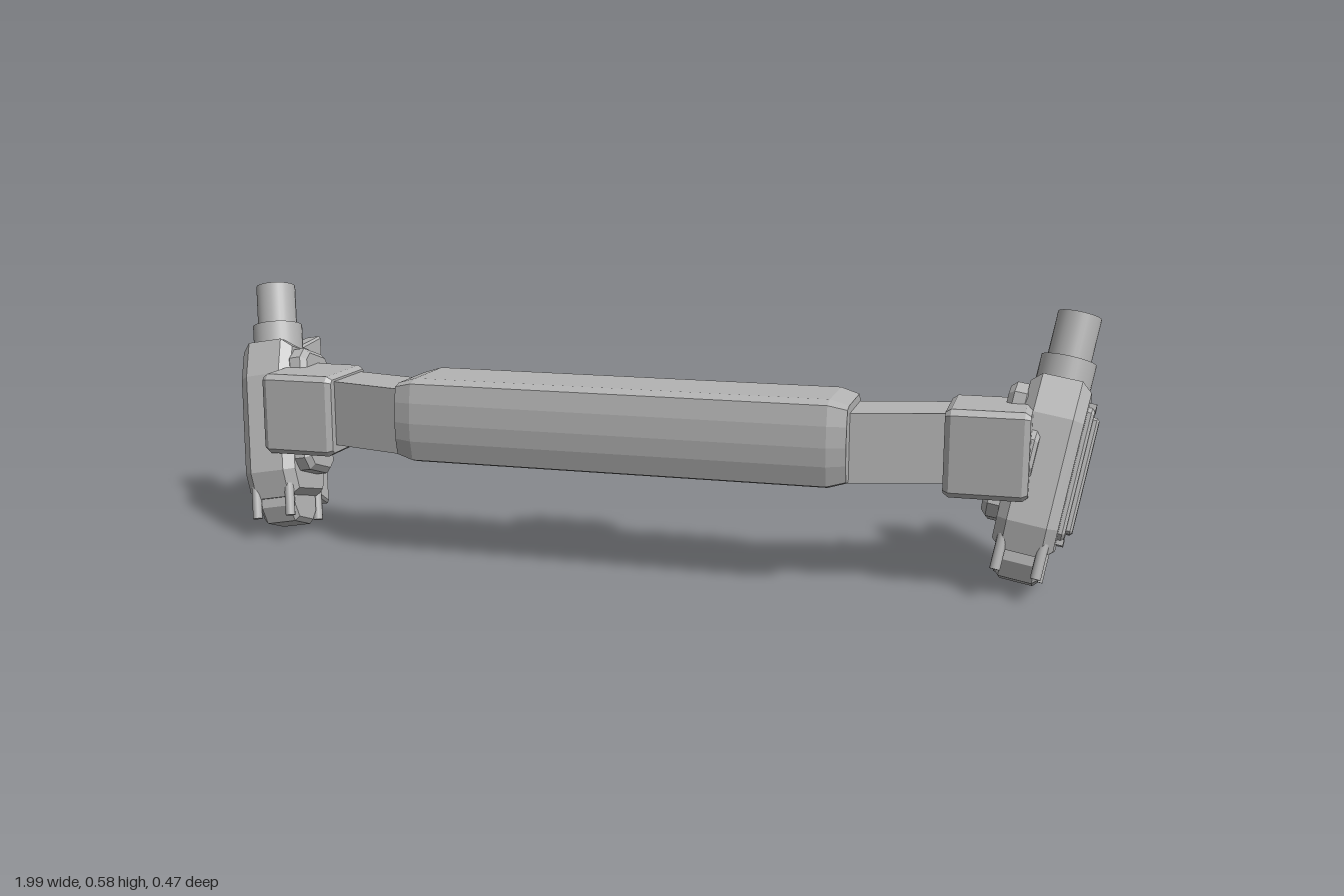
import * as THREE from 'three';

const grey = new THREE.MeshStandardMaterial({ color: 0xb3b3b3 });
grey.name = 'grey';

function add(parent, name, geometry, x = 0, y = 0, z = 0) {
  const mesh = new THREE.Mesh(geometry, grey);
  mesh.name = name;
  mesh.position.set(x, y, z);
  parent.add(mesh);
  return mesh;
}

// Side outline of [z, y] points, extruded along x from x0 to x1; bevel runs inwards
function slab(pts, x0, x1, bevel = 0, run = bevel) {
  const a = Math.min(x0, x1), b = Math.max(x0, x1);
  const shape = new THREE.Shape(pts.map(([z, y]) => new THREE.Vector2(-z, y)));
  const g = new THREE.ExtrudeGeometry(shape, {
    depth: b - a - 2 * run, bevelEnabled: bevel > 0, bevelThickness: run,
    bevelSize: bevel, bevelOffset: -bevel, bevelSegments: 1,
  });
  return g.translate(0, 0, a + run).rotateY(Math.PI / 2);
}

// Rectangle in z and y with cut corners
function cutRect(z0, z1, y0, y1, c) {
  return [[z0 + c, y0], [z1 - c, y0], [z1, y0 + c], [z1, y1 - c],
    [z1 - c, y1], [z0 + c, y1], [z0, y1 - c], [z0, y0 + c]];
}

// Upright pod at each end; s is the side (+1 or -1)
function createPod(s) {
  const pod = new THREE.Group();
  pod.name = s > 0 ? 'leftPod' : 'rightPod';
  pod.position.set(s * 0.885, 0.25, 0.02);
  pod.rotation.set(-0.323, 0, -s * 0.175);

  const body = [[0.065, -0.19], [0.09, -0.13], [0.09, 0.1], [0.07, 0.185],
    [-0.075, 0.185], [-0.096, 0.14], [-0.096, -0.15], [-0.08, -0.18]];
  add(pod, 'podBody', slab(body, -0.063, 0.063, 0.018, 0.022));

  // Framed panel on the outer face
  add(pod, 'panelFrame', slab(cutRect(-0.046, 0.03, -0.142, 0.142, 0.012), s * 0.05, s * 0.077, 0.006));
  add(pod, 'panelSlab', slab(cutRect(-0.032, 0.016, -0.125, 0.125, 0.006), s * 0.07, s * 0.09, 0.005));
  for (const e of [-1, 1])
    add(pod, 'panelTab', new THREE.BoxGeometry(0.02, 0.014, 0.05), s * 0.068, e * 0.145, -0.008);

  // Mount on the inner face
  add(pod, 'mountPlate', slab(cutRect(-0.07, 0.07, -0.13, 0.16, 0.025), -s * 0.05, -s * 0.1, 0.012));
  add(pod, 'mountEar', slab(cutRect(-0.07, 0.112, -0.06, 0.08, 0.04), -s * 0.015, -s * 0.1, 0.008));

  // Stub tube and collar
  add(pod, 'collar', new THREE.CylinderGeometry(0.058, 0.058, 0.08, 32), 0, 0.194, 0);
  add(pod, 'tube', new THREE.CylinderGeometry(0.046, 0.046, 0.14, 32), 0, 0.262, 0);

  // Rear fin
  const fin = [[-0.188, -0.183], [-0.188, 0.242], [-0.05, 0.185], [-0.05, -0.12], [-0.095, -0.158]];
  add(pod, 'fin', slab(fin, -0.023, 0.023, 0.006));

  // Foot with four pins
  const foot = [[-0.073, -0.165], [-0.073, -0.218], [-0.05, -0.246], [0.028, -0.244],
    [0.053, -0.21], [0.056, -0.165]];
  add(pod, 'foot', slab(foot, -0.045, 0.045, 0.01));
  for (const x of [-0.042, 0.042])
    for (const z of [-0.08, 0.064])
      add(pod, 'pin', new THREE.CylinderGeometry(0.011, 0.011, 0.075, 12), x, -0.197, z);
  return pod;
}

export function createModel() {
  const model = new THREE.Group();
  model.name = 'handleBar';

  // Padded central beam with a bowed front
  const beam = [[0.045, 0.218], [0.195, 0.218], [0.222, 0.226], [0.233, 0.27], [0.236, 0.31],
    [0.233, 0.355], [0.224, 0.397], [0.195, 0.405], [0.045, 0.405], [0.018, 0.38], [0.018, 0.243]];
  add(model, 'beam', slab(beam, -0.5, 0.5, 0.012, 0.04));

  // Plate at the back centre
  const plate = new THREE.Group();
  plate.name = 'backPlate';
  plate.add();
  add(plate, 'plateBase', slab(cutRect(-0.035, 0.03, 0.255, 0.365, 0.01), -0.117, 0.117, 0.008, 0.015));
  add(plate, 'plateTop', slab(cutRect(-0.068, -0.02, 0.275, 0.345, 0.005), -0.09, 0.09, 0.004));
  model.add(plate);

  for (const s of [-1, 1]) {
    // Cross-shaped bracket that wraps under the beam
    add(model, 'bracketBar', new THREE.BoxGeometry(0.22, 0.04, 0.03), s * 0.32, 0.325, 0.013);
    add(model, 'bracketBlock', slab(cutRect(0.002, 0.03, 0.25, 0.365, 0.008), s * 0.265, s * 0.375, 0.005));
    add(model, 'bracketTab', slab([[0.004, 0.214], [0.09, 0.214], [0.09, 0.24], [0.03, 0.27], [0.004, 0.27]],
      s * 0.28, s * 0.36));

    // Swept arm
    const arm = [[0.46, 0.04], [0.46, 0.185], [0.5, 0.18], [0.76, 0.11], [0.76, -0.03], [0.5, 0.035]];
    const shape = new THREE.Shape(arm.map(([x, z]) => new THREE.Vector2(s * x, -z)));
    const armGeo = new THREE.ExtrudeGeometry(shape, { depth: 0.148, bevelEnabled: false });
    add(model, 'arm', armGeo.rotateX(-Math.PI / 2), 0, 0.227, 0);

    // Clamp that joins arm and pod
    add(model, 'clamp', slab(cutRect(-0.037, 0.155, 0.202, 0.388, 0.012), s * 0.69, s * 0.862, 0.008, 0.012));
    add(model, 'clampBack', slab(cutRect(-0.08, 0.02, 0.225, 0.375, 0.02), s * 0.765, s * 0.86, 0.01));

    model.add(createPod(s));
  }
  return model;
}
